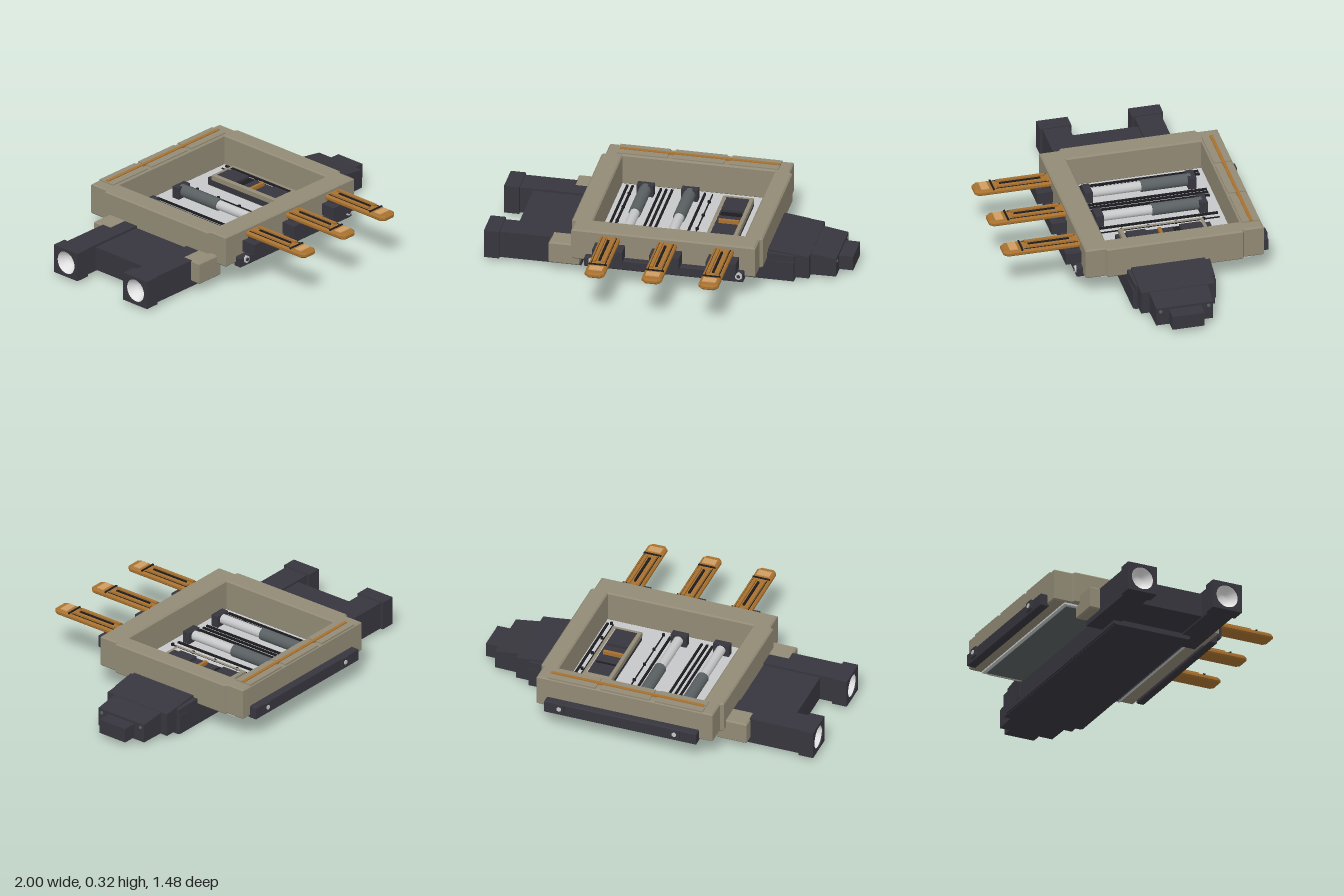
import * as THREE from 'three';

const mat = (name, color, side = THREE.FrontSide) => {
  const m = new THREE.MeshStandardMaterial({ color, side });
  m.name = name;
  return m;
};

export function createModel() {
  const tan = mat('tan', 0x928a76), dark = mat('charcoal', 0x37363e), black = mat('black', 0x1c1c20);
  const light = mat('light grey', 0xc6c7c8), steel = mat('steel', 0x5a6062);
  const orange = mat('copper', 0xa8712f), pale = mat('pale copper', 0xcf9c62);
  const white = mat('white', 0xe2e2e2, THREE.DoubleSide);
  const root = new THREE.Group();
  root.name = 'carrierCraft';

  const add = (name, geo, m, parent = root) => {
    const mesh = new THREE.Mesh(geo, m);
    mesh.name = name;
    parent.add(mesh);
    return mesh;
  };
  // Box given by its limits on each axis
  const box = (name, m, x0, x1, y0, y1, z0, z1, parent = root) =>
    add(name, new THREE.BoxGeometry(x1 - x0, y1 - y0, z1 - z0)
      .translate((x0 + x1) / 2, (y0 + y1) / 2, (z0 + z1) / 2), m, parent);
  const rod = (name, m, r, len, x, y, z, axis, parent = root, seg = 20) => {
    const g = new THREE.CylinderGeometry(r, r, len, seg);
    if (axis === 'x') g.rotateZ(Math.PI / 2);
    if (axis === 'z') g.rotateX(Math.PI / 2);
    return add(name, g.translate(x, y, z), m, parent);
  };
  const poly = (pts, Type = THREE.Shape) => new Type(pts.map(p => new THREE.Vector2(...p)));
  const rect = (x0, x1, z0, z1) => [[x0, z0], [x1, z0], [x1, z1], [x0, z1]];
  // Plan outline in x, z raised from y0 to y1 with a small bevel
  const slab = (name, m, pts, hole, y0, y1, b, parent = root) => {
    const s = poly(pts.map(([x, z]) => [x, -z]));
    if (hole) s.holes.push(poly(hole.map(([x, z]) => [x, -z]), THREE.Path));
    const g = new THREE.ExtrudeGeometry(s, {
      depth: y1 - y0 - 2 * b, bevelEnabled: b > 0, bevelSize: b, bevelThickness: b, bevelOffset: -b, bevelSegments: 1,
    });
    return add(name, g.rotateX(-Math.PI / 2).translate(0, y0 + b, 0), m, parent);
  };
  // Box whose +x end is lower and narrower, for the stepped nose
  const taper = (name, x0, x1, y0, yA, yB, z0, z1, inset) => {
    const g = new THREE.BoxGeometry(1, 1, 1).toNonIndexed(), p = g.attributes.position;
    for (let i = 0; i < p.count; i++) {
      const far = p.getX(i) > 0, k = far ? inset : 0;
      const y = p.getY(i) > 0 ? (far ? yB : yA) : y0;
      p.setXYZ(i, far ? x1 : x0, y, p.getZ(i) > 0 ? z1 - k : z0 + k);
    }
    g.computeVertexNormals();
    return add(name, g, dark);
  };

  // Open tray: frame and floor
  slab('frame', tan, [[-0.49, 0.31], [0.535, 0.31], [0.535, 0.2], [0.552, 0.19], [0.552, -0.57], [0.535, -0.58],
    [0.535, -0.69], [-0.49, -0.69], [-0.49, -0.58], [-0.51, -0.57], [-0.51, 0.19], [-0.49, 0.2]],
  rect(-0.395, 0.45, -0.575, 0.18), 0.128, 0.31, 0.008);
  box('floor', light, -0.48, 0.52, 0.118, 0.132, -0.62, 0.22);
  box('floorUnderside', steel, -0.46, 0.5, 0.114, 0.118, -0.6, 0.2);

  // Raised plates and copper strips along the back wall
  for (const [a, b] of [[-0.43, -0.15], [-0.12, 0.165], [0.195, 0.47]]) {
    box('backPlate', tan, a, b, 0.305, 0.316, -0.685, -0.585);
  }
  box('backStrip', orange, -0.42, 0.47, 0.31, 0.321, -0.645, -0.627);

  // Floor rails and rivets
  for (const x of [-0.363, -0.333, -0.175, -0.145, -0.113, 0.07, 0.112, 0.403, 0.435]) {
    if (x !== 0.112 && x !== 0.403) box('floorRail', black, x - 0.006, x + 0.006, 0.13, 0.142, -0.55, 0.14);
    else box('floorSeam', black, x - 0.003, x + 0.003, 0.13, 0.138, -0.55, 0.14);
  }
  for (const x of [-0.333, 0.112, 0.415]) {
    for (const z of [-0.46, -0.305, -0.15, 0, 0.145]) rod('rivet', black, 0.009, 0.014, x, 0.138, z, 'y', root, 8);
  }

  // Two pistons between end brackets
  for (const x of [-0.245, 0.002]) {
    const g = new THREE.Group();
    g.name = 'piston';
    root.add(g);
    box('rearBracket', dark, x - 0.046, x + 0.046, 0.13, 0.2, -0.5, -0.455, g);
    box('frontBracket', dark, x - 0.046, x + 0.046, 0.13, 0.2, 0.083, 0.126, g);
    rod('sleeve', steel, 0.034, 0.28, x, 0.17, -0.335, 'z', g);
    rod('shaft', light, 0.027, 0.3, x, 0.17, -0.06, 'z', g);
  }

  // Control box in the tray
  box('controlBase', dark, 0.207, 0.358, 0.13, 0.175, -0.47, 0.062);
  slab('controlFrame', tan, rect(0.197, 0.368, -0.435, 0.042), rect(0.214, 0.351, -0.418, 0.025), 0.17, 0.205, 0.004);
  box('controlPanel', dark, 0.216, 0.345, 0.17, 0.192, -0.415, -0.295);
  box('controlPanel', dark, 0.216, 0.345, 0.17, 0.192, -0.105, 0.005);
  box('controlPit', black, 0.216, 0.349, 0.17, 0.178, -0.295, -0.26);
  box('controlStrip', orange, 0.225, 0.338, 0.17, 0.195, -0.19, -0.172);

  // Bumper bars
  slab('frontBar', dark, rect(-0.41, 0.475, 0.3, 0.345), null, 0.108, 0.168, 0.006);
  slab('backBar', dark, rect(-0.41, 0.475, -0.732, -0.68), null, 0.115, 0.19, 0.006);
  for (const x of [-0.365, 0.45]) {
    rod('frontBolt', light, 0.022, 0.012, x, 0.148, 0.347, 'z', root, 6);
    rod('boltCore', dark, 0.01, 0.004, x, 0.148, 0.354, 'z', root, 12);
  }
  for (const x of [-0.285, 0.385]) {
    box('backBoltMount', dark, x - 0.028, x + 0.028, 0.135, 0.188, -0.742, -0.73);
    rod('backBolt', light, 0.014, 0.006, x, 0.162, -0.743, 'z', root, 6);
  }

  // Three copper prongs on the front
  for (const x of [-0.272, 0.045, 0.361]) {
    const g = new THREE.Group();
    g.name = 'prong';
    g.position.x = x;
    root.add(g);
    box('prongMount', dark, -0.083, 0.083, 0.178, 0.245, 0.3, 0.398, g);
    box('prongNeck', dark, -0.04, 0.04, 0.24, 0.262, 0.3, 0.36, g);
    slab('prongBlade', orange, [[-0.055, 0.3], [0.055, 0.3], [0.055, 0.715], [0.035, 0.737], [-0.035, 0.737], [-0.055, 0.715]],
      null, 0.257, 0.288, 0.009, g);
    for (const s of [-1, 1]) {
      box('prongRail', orange, s * 0.026 - 0.009, s * 0.026 + 0.009, 0.285, 0.299, 0.33, 0.605, g);
      box('prongSeam', black, s * 0.039 - 0.002, s * 0.039 + 0.002, 0.285, 0.29, 0.32, 0.62, g);
    }
    box('prongSlot', black, -0.006, 0.006, 0.285, 0.297, 0.36, 0.59, g);
    box('prongBand', black, -0.05, 0.05, 0.285, 0.293, 0.627, 0.637, g);
    box('prongPad', pale, -0.038, 0.038, 0.285, 0.293, 0.655, 0.7, g);
  }

  // Hull below the tray
  box('hull', dark, -0.6, 0.7, 0.004, 0.118, -0.38, 0.085);
  box('keel', dark, -0.6, 0.7, 0, 0.01, -0.37, 0.075);
  box('engineBridge', dark, -0.84, -0.45, 0.03, 0.165, -0.345, 0.045);

  // Stepped nose
  taper('noseBase', 0.53, 0.7, 0.03, 0.165, 0.15, -0.385, 0.085, 0.012);
  taper('noseMiddle', 0.55, 0.78, 0.018, 0.175, 0.15, -0.355, 0.06, 0);
  taper('noseFront', 0.76, 0.92, 0.02, 0.15, 0.127, -0.312, 0.015, 0.004);
  box('noseTip', dark, 0.9, 1, 0.03, 0.112, -0.24, 0.06 - 0.12);
  for (const s of [-1, 1]) {
    const fin = taper('noseFin', 0.54, 0.65, 0.14, 0.18, 0.162, -0.012, 0.012, 0.006);
    fin.rotation.y = s * 0.25;
    fin.position.set(0, 0, -0.148 + s * 0.3);
    rod('noseBolt', steel, 0.01, 0.006, 0.921, 0.105, -0.148 + s * 0.135, 'x', root, 8);
  }

  // Two engines with side blocks and open nozzles
  const ring = poly([[-0.088, -0.082], [0.088, -0.082], [0.088, 0.082], [-0.088, 0.082]]);
  ring.holes.push(new THREE.Path().absarc(0, 0, 0.066, 0, Math.PI * 2, true));
  const cup = [[0, 0.02], [0.02, 0.02], [0.035, 0.03], [0.055, 0.055], [0.066, 0.078]].map(p => new THREE.Vector2(...p));
  for (const s of [-1, 1]) {
    const zc = -0.148 + s * 0.258;
    const g = new THREE.Group();
    g.name = 'engine';
    root.add(g);
    box('engineArm', dark, -0.92, -0.46, 0.022, 0.178, zc - 0.073, zc + 0.073, g);
    add('engineCap', new THREE.ExtrudeGeometry(ring, { depth: 0.085, bevelEnabled: false, curveSegments: 20 })
      .rotateY(-Math.PI / 2).translate(-0.915, 0.102, zc), dark, g);
    add('nozzle', new THREE.LatheGeometry(cup, 24).rotateZ(Math.PI / 2).translate(-0.915, 0.102, zc), white, g);
    const zb = -0.148 + s * 0.33;
    slab('sideBlock', tan, rect(-0.63, -0.46, zb - 0.062, zb + 0.062), null, 0.052, 0.18, 0.008, g);
  }
  return root;
}
